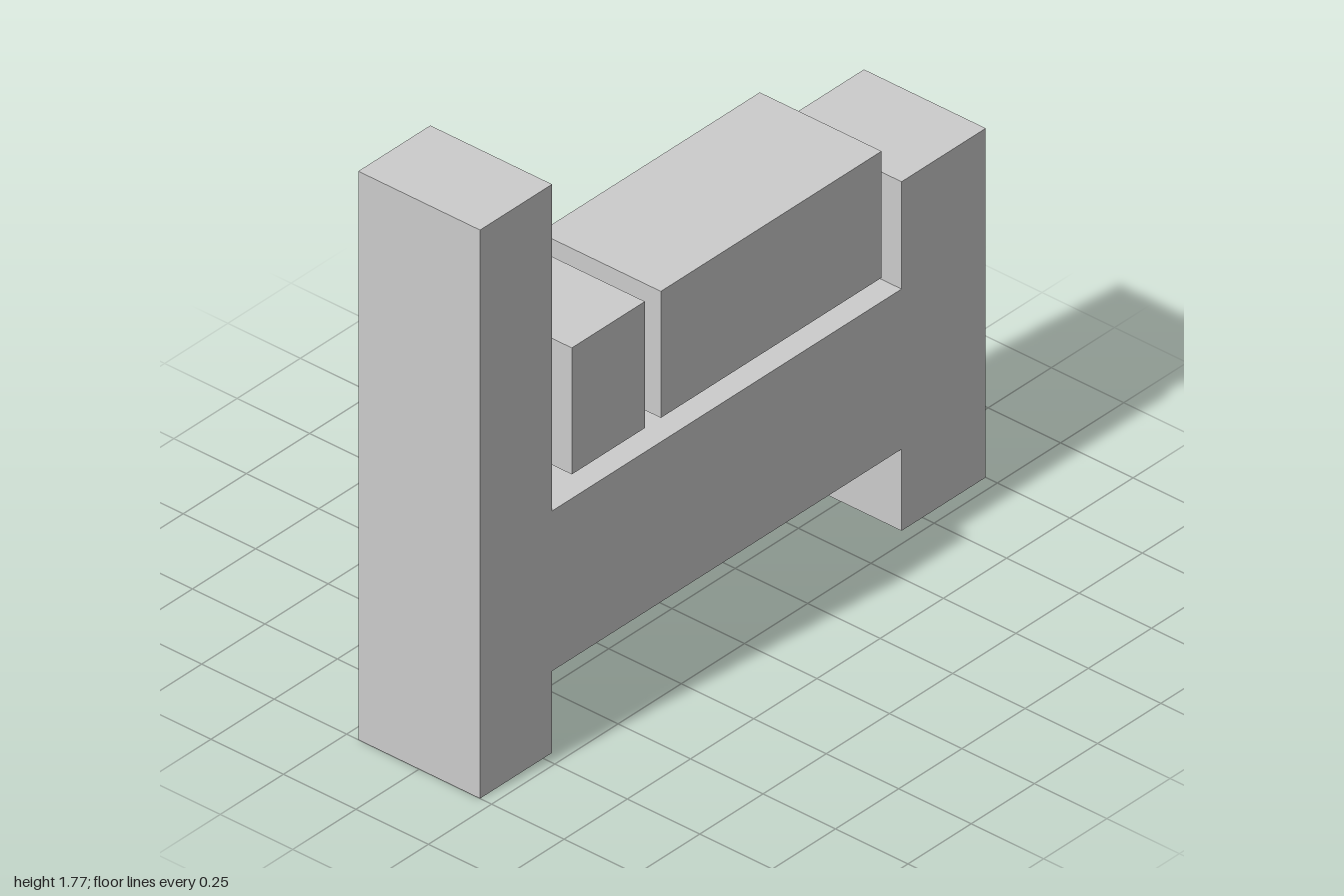
import * as THREE from 'three';

const DEPTH = 0.42;

export function createModel() {
  const group = new THREE.Group();
  const material = new THREE.MeshStandardMaterial({ color: 0xcccccc, flatShading: true });

  const add = (name, geometry) => {
    const mesh = new THREE.Mesh(geometry, material);
    mesh.name = name;
    group.add(mesh);
  };

  // Bed frame: tall headboard, rail and low footboard as one solid outline
  const outline = [
    [-1, 0], [-0.715, 0], [-0.715, 0.255], [0.667, 0.255], [0.667, 0], [1, 0],
    [1, 1.09], [0.667, 1.09], [0.667, 0.755], [-0.715, 0.755], [-0.715, 1.775], [-1, 1.775],
  ].map(([x, y]) => new THREE.Vector2(x, y));
  const frame = new THREE.ExtrudeGeometry(new THREE.Shape(outline), { depth: DEPTH, bevelEnabled: false });
  frame.translate(0, 0, -DEPTH / 2);
  add('bedFrame', frame);

  // Pillow and mattress blocks, set just above the rail
  const block = (name, x0, x1) => {
    const y0 = 0.83, y1 = 1.225;
    const box = new THREE.BoxGeometry(x1 - x0, y1 - y0, DEPTH);
    box.translate((x0 + x1) / 2, (y0 + y1) / 2, 0);
    add(name, box);
  };
  block('pillow', -0.637, -0.348);
  block('mattress', -0.285, 0.588);

  return group;
}
